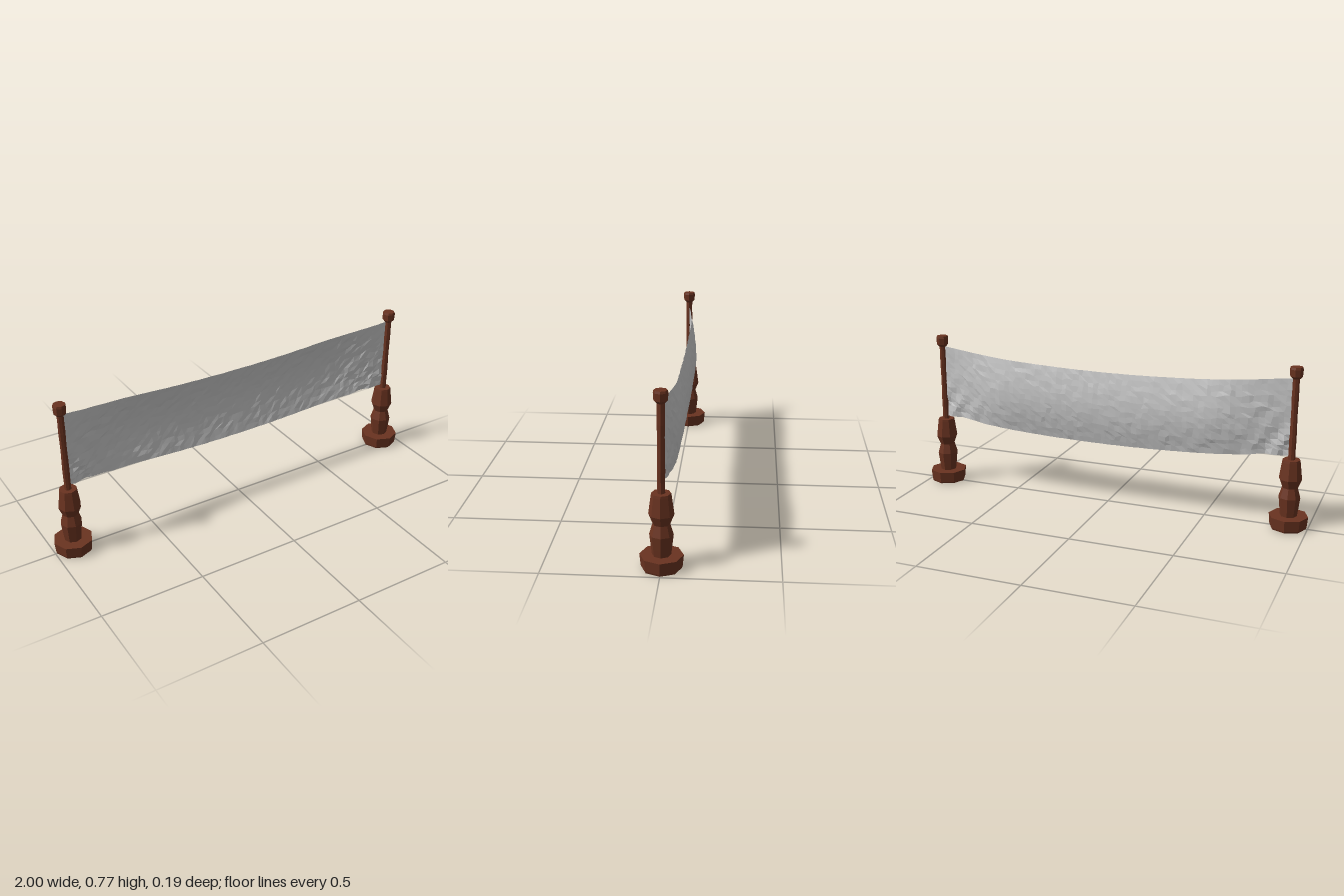
import * as THREE from 'three';

const wood = new THREE.MeshStandardMaterial({ color: 0x6a3320, flatShading: true });
const fabric = new THREE.MeshStandardMaterial({ color: 0xcccccc, flatShading: true, side: THREE.DoubleSide });

// Repeatable value in -1..1 for a grid cell
function hash(i, j) {
  const s = Math.sin(i * 127.1 + j * 311.7) * 43758.5453;
  return (s - Math.floor(s)) * 2 - 1;
}

// Eight-sided turned part from [radius, height] pairs, closed at both ends
function turned(name, profile, sides = 8) {
  const pts = [[0, profile[0][1]], ...profile, [0, profile.at(-1)[1]]];
  const geo = new THREE.LatheGeometry(pts.map(([r, y]) => new THREE.Vector2(r, y)), sides);
  const mesh = new THREE.Mesh(geo, wood);
  mesh.name = name;
  return mesh;
}

function makePost(name, x) {
  const post = new THREE.Group();
  post.name = name;
  post.add(turned('foot', [[0.085, 0], [0.088, 0.008], [0.093, 0.06]]));
  post.add(turned('baluster', [
    [0.04, 0.058], [0.044, 0.09], [0.051, 0.152], [0.037, 0.2], [0.054, 0.243], [0.043, 0.325], [0.041, 0.336],
  ]));
  // Pole with a slightly hand-cut outline
  const pole = [];
  for (let i = 0; i <= 8; i++) pole.push([0.0165 + 0.0012 * hash(i, 3), 0.33 + i * 0.05]);
  post.add(turned('pole', pole));
  post.add(turned('knob', [[0.018, 0.72], [0.029, 0.732], [0.031, 0.765], [0.028, 0.775]]));
  post.position.x = x;
  return post;
}

// Sagging sheet, bellied backwards, with crumpled lower corners
function makeCloth() {
  const cols = 64, rows = 14;
  const geo = new THREE.PlaneGeometry(2, 1, cols, rows);
  const pos = geo.attributes.position;
  for (let k = 0; k < pos.count; k++) {
    const i = k % (cols + 1), j = Math.floor(k / (cols + 1));
    const u = pos.getX(k), v = pos.getY(k) + 0.5;
    const inner = i > 0 && i < cols && j > 0 && j < rows ? 1 : 0;
    const x = u * 0.895 + inner * 0.008 * hash(i, j);
    const sag = 0.048 * (1 - u * u);
    const corner = Math.max(0, (Math.abs(u) - 0.72) / 0.28) * Math.max(0, 1 - v / 0.65);
    const y = 0.36 + v * 0.361 - sag + inner * 0.006 * hash(i + 90, j)
      + (1 - v) * 0.008 * Math.sin(Math.abs(u) * 24) * Math.max(0, Math.abs(u) - 0.7) / 0.3;
    const out = THREE.MathUtils.smoothstep(1.06 - Math.abs(u), 0, 0.5);
    const belly = 0.036 + 0.026 * Math.sin(Math.PI * v);
    const z = -belly * out + 0.0013 * hash(i, j + 50)
      + corner * (0.009 * Math.sin(u * 50 + v * 14) + 0.004 * hash(i, j + 20));
    pos.setXYZ(k, x, y, z);
  }
  geo.computeVertexNormals();
  const mesh = new THREE.Mesh(geo, fabric);
  mesh.name = 'cloth';
  return mesh;
}

export function createModel() {
  const model = new THREE.Group();
  model.name = 'clothBetweenPosts';
  model.add(makePost('leftPost', 0.907), makePost('rightPost', -0.907), makeCloth());
  return model;
}
